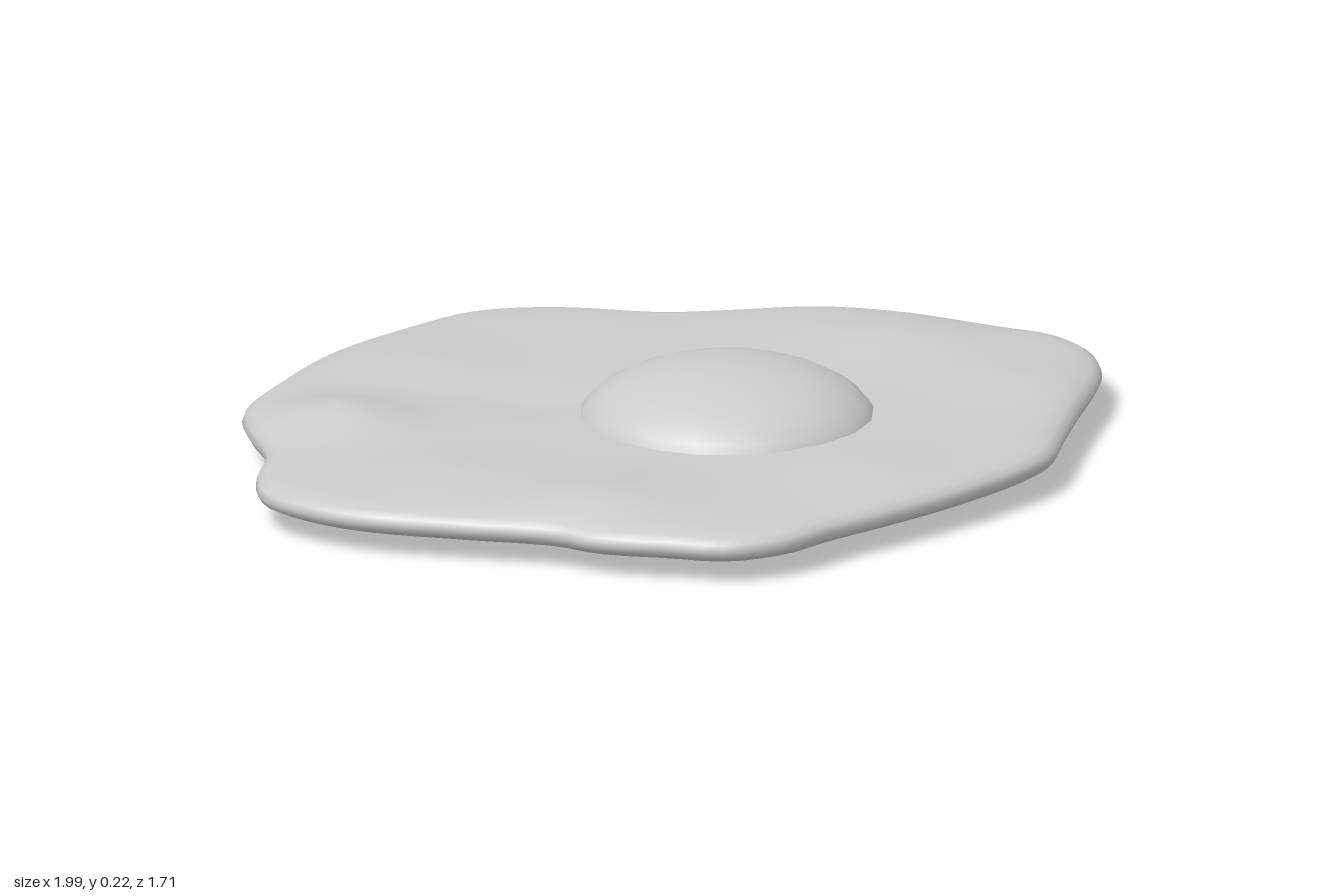
import * as THREE from 'three';

// Wavy outline of the egg white, as x, z pairs seen from above
const OUTLINE = [
  -0.09, -0.855, 0.08, -0.81, 0.28, -0.68, 0.42, -0.635, 0.6, -0.58, 0.74, -0.475,
  0.88, -0.305, 0.975, -0.19, 0.995, -0.08, 0.96, 0.05, 0.81, 0.27, 0.72, 0.4,
  0.61, 0.55, 0.38, 0.675, 0.17, 0.75, 0, 0.8, -0.12, 0.845, -0.26, 0.84,
  -0.36, 0.77, -0.49, 0.675, -0.55, 0.59, -0.72, 0.46, -0.89, 0.32, -0.97, 0.2,
  -1, 0.1, -0.96, -0.02, -0.88, -0.15, -0.845, -0.32, -0.8, -0.44, -0.66, -0.58,
  -0.49, -0.71, -0.26, -0.81,
];

// Cross-section from the bottom centre, round the rim, to the top centre: scale, height
const SECTION = [
  [0, 0], [0.3, 0], [0.55, 0.003], [0.65, 0.01], [0.75, 0.027], [0.84, 0.04], [0.94, 0.044],
  [0.97, 0.048], [0.99, 0.058], [1, 0.074], [0.993, 0.089], [0.975, 0.1], [0.94, 0.106],
  [0.88, 0.109], [0.8, 0.111], [0.72, 0.112], [0.64, 0.112], [0.56, 0.112], [0.48, 0.112],
  [0.4, 0.112], [0.3, 0.112], [0.2, 0.112], [0, 0.112],
];
const RIM = 10; // first section index on the upper surface

// Soft bumps and dips of the upper surface: x, z, radius, height
const BUMPS = [
  [-0.68, -0.22, 0.14, 0.045], [-0.4, 0.5, 0.17, 0.024], [0.62, -0.25, 0.17, 0.027],
  [-0.27, -0.2, 0.1, -0.014], [0.75, 0.1, 0.14, 0.014], [-0.35, -0.5, 0.16, 0.016],
  [0.2, 0.55, 0.15, 0.012], [-0.6, 0.2, 0.15, 0.016],
];

function bumpHeight(x, z) {
  return BUMPS.reduce((sum, [bx, bz, r, h]) =>
    sum + h * Math.exp(-((x - bx) ** 2 + (z - bz) ** 2) / (r * r)), 0);
}

function eggWhiteGeometry(segments = 128) {
  const points = [];
  for (let i = 0; i < OUTLINE.length; i += 2) {
    points.push(new THREE.Vector3(OUTLINE[i], 0, OUTLINE[i + 1]));
  }
  const outline = new THREE.CatmullRomCurve3(points, true).getSpacedPoints(segments).slice(0, segments);

  const positions = [];
  const indices = [];
  SECTION.forEach(([scale, height], j) => {
    for (const p of outline) {
      const x = p.x * scale;
      const z = p.z * scale;
      const fade = j < RIM ? 0 : Math.min(1, (1 - scale) / 0.12);
      positions.push(x, height + fade * bumpHeight(x, z), z);
    }
  });
  for (let j = 0; j < SECTION.length - 1; j++) {
    for (let i = 0; i < segments; i++) {
      const next = (i + 1) % segments;
      const a = j * segments + i;
      const b = j * segments + next;
      const c = a + segments;
      const d = b + segments;
      if (j > 0) indices.push(a, c, b);
      if (j < SECTION.length - 2) indices.push(b, c, d);
    }
  }
  const geometry = new THREE.BufferGeometry();
  geometry.setAttribute('position', new THREE.Float32BufferAttribute(positions, 3));
  geometry.setIndex(indices);
  geometry.computeVertexNormals();
  return geometry;
}

export function createModel() {
  const group = new THREE.Group();
  group.name = 'friedEgg';
  const material = new THREE.MeshStandardMaterial({ color: 0xcccccc });

  // Thin white with a rounded rim and a gently uneven top
  const white = new THREE.Mesh(eggWhiteGeometry(), material);
  white.name = 'eggWhite';
  group.add(white);

  // Flattened dome of the yolk, sunk into the white
  const dome = new THREE.SphereGeometry(1, 20, 8, 0, Math.PI * 2, 0, Math.PI / 2);
  const yolk = new THREE.Mesh(dome, material);
  yolk.name = 'yolk';
  yolk.scale.set(0.322, 0.147, 0.322);
  yolk.position.set(0.095, 0.074, 0.05);
  group.add(yolk);

  return group;
}
